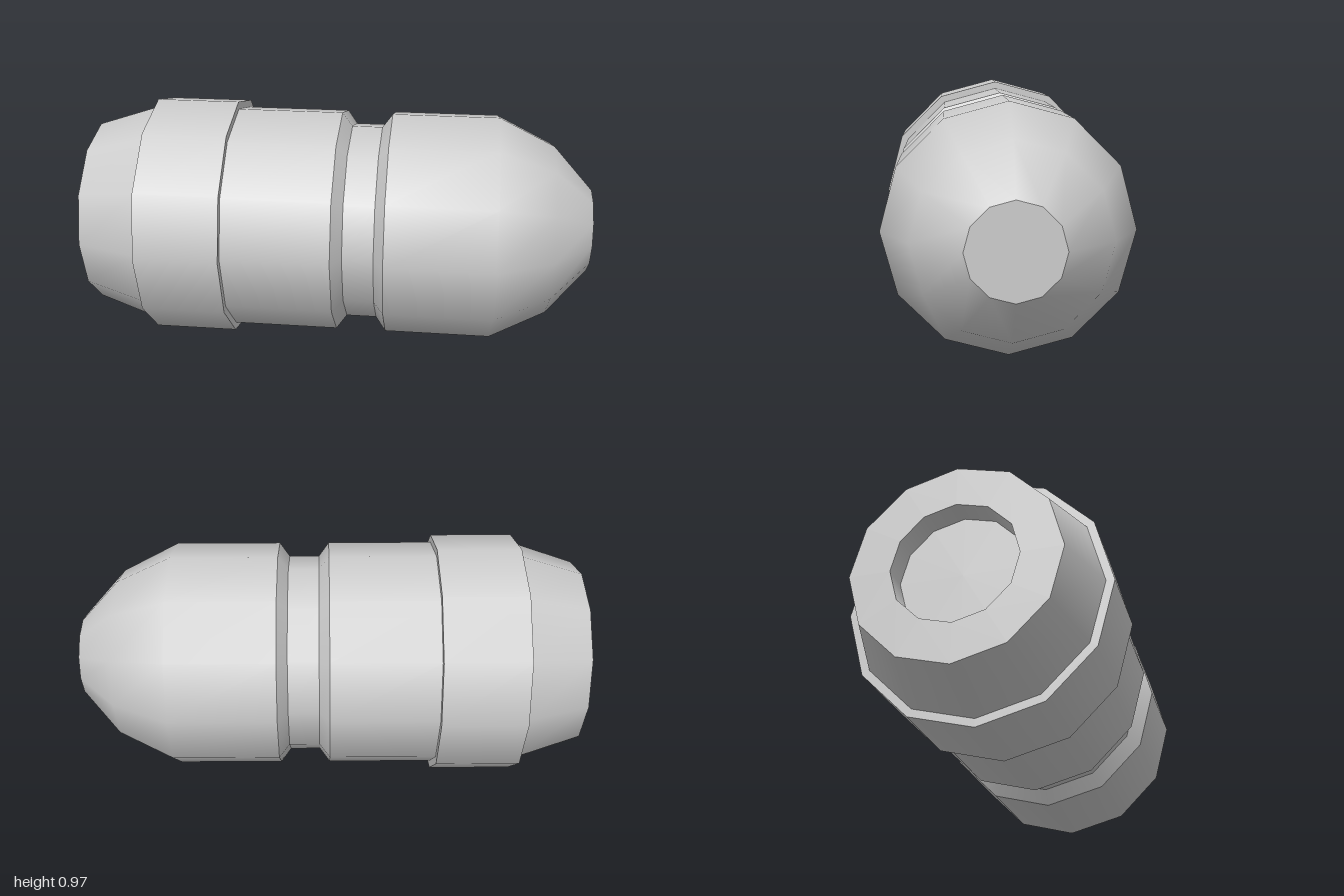
import * as THREE from 'three';

const SIDES = 12;
const AXIS_HEIGHT = 0.487;

export function createModel() {
  const model = new THREE.Group();
  model.name = 'capsule';
  model.position.y = AXIS_HEIGHT;
  const grey = new THREE.MeshStandardMaterial({ color: 0xcccccc });
  grey.name = 'plainGrey';

  // Each part is a list of bands; a band is smooth inside and sharp at its ends.
  // Points are [x along the axis, radius], running from tail to nose.
  const parts = {
    tailRecess: [
      [[-0.91, 0], [-0.91, 0.226]],
      [[-0.91, 0.226], [-1, 0.226]],
    ],
    tailCone: [
      [[-1, 0.226], [-1, 0.374]],
      [[-1, 0.374], [-0.75, 0.456]],
    ],
    collar: [
      [[-0.75, 0.456], [-0.75, 0.487]],
      [[-0.75, 0.487], [-0.42, 0.487]],
      [[-0.42, 0.487], [-0.42, 0.457]],
    ],
    body: [
      [[-0.42, 0.457], [0, 0.457]],
    ],
    groove: [
      [[0, 0.457], [0.04, 0.402]],
      [[0.04, 0.402], [0.16, 0.402]],
      [[0.16, 0.402], [0.2, 0.457]],
    ],
    nose: [
      [[0.2, 0.457], [0.62, 0.457], [0.84, 0.347], [1, 0.168]],
      [[1, 0.168], [1, 0]],
    ],
  };

  for (const [name, bands] of Object.entries(parts)) {
    const part = new THREE.Group();
    part.name = name;
    bands.forEach((band, i) => {
      const profile = band.map(([x, r]) => new THREE.Vector2(r, x));
      const geometry = new THREE.LatheGeometry(profile, SIDES);
      geometry.rotateZ(-Math.PI / 2); // lay the axis along x
      const mesh = new THREE.Mesh(geometry, grey);
      mesh.name = `${name}Band${i + 1}`;
      part.add(mesh);
    });
    model.add(part);
  }

  const root = new THREE.Group();
  root.add(model);
  return root;
}
